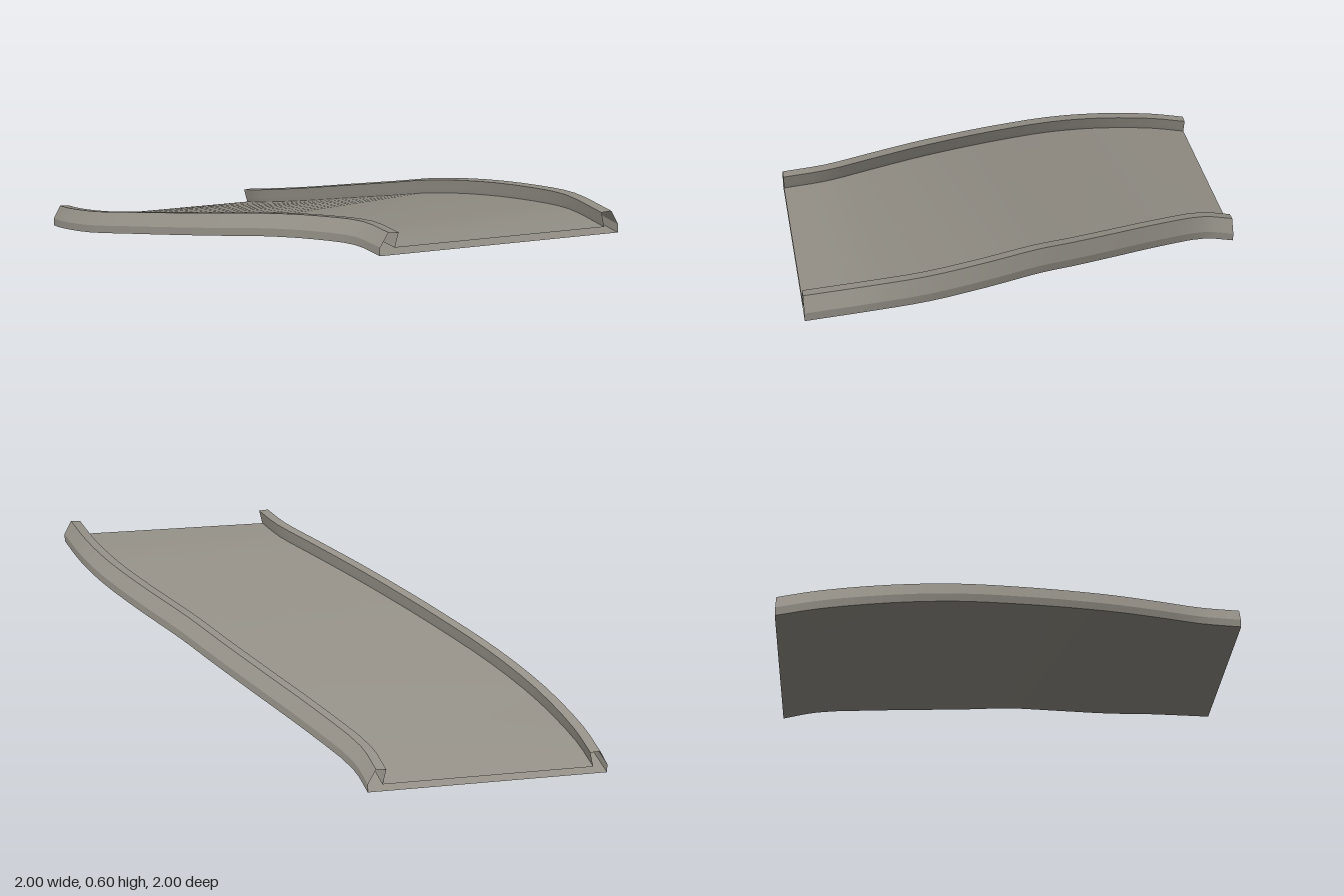
import * as THREE from 'three';

// Matching stations along the two outer lower edges: [height, x, z of one edge, x, z of the other]
const STATIONS = [
  [0, -1, -1, 0, -1],
  [0.045, -0.98, -0.83, 0.03, -0.86],
  [0.12, -0.9, -0.55, 0.165, -0.63],
  [0.2, -0.77, -0.28, 0.325, -0.4],
  [0.28, -0.6, 0, 0.485, -0.17],
  [0.34, -0.46, 0.21, 0.6, 0],
  [0.4, -0.31, 0.42, 0.75, 0.24],
  [0.45, -0.165, 0.63, 0.88, 0.5],
  [0.485, -0.05, 0.82, 0.955, 0.72],
  [0.5, 0, 1, 1, 1],
];
const STEPS = 27;

// Rim profile: distance inward from the edge, height above it
const RIM = [[0, 0], [0, 0.035], [0.033, 0.096], [0.075, 0.093], [0.064, 0.045], [0.06, 0.03]];

export function createModel() {
  const group = new THREE.Group();
  const stone = new THREE.MeshStandardMaterial({ color: 0x959188, side: THREE.DoubleSide });
  stone.name = 'warm grey';

  const edgeA = new THREE.CatmullRomCurve3(STATIONS.map(([y, x, z]) => new THREE.Vector3(x, y, z)));
  const edgeB = new THREE.CatmullRomCurve3(STATIONS.map(([y, , , x, z]) => new THREE.Vector3(x, y, z)));

  // Point on a section, measured inward from either edge
  function pointAt(t, fromB, [inward, up]) {
    const a = edgeA.getPoint(t), b = edgeB.getPoint(t);
    const across = b.clone().sub(a).normalize();
    const p = fromB ? b.addScaledVector(across, -inward) : a.addScaledVector(across, inward);
    p.y += up;
    return p;
  }

  // Sweep one profile line along the slide; smooth lengthwise, sharp at its borders
  function strip(parent, name, [fromB0, p0], [fromB1, p1]) {
    const positions = [], index = [];
    for (let i = 0; i <= STEPS; i++) {
      const t = i / STEPS;
      positions.push(...pointAt(t, fromB0, p0).toArray(), ...pointAt(t, fromB1, p1).toArray());
      if (i < STEPS) {
        const k = i * 2;
        index.push(k, k + 2, k + 3, k, k + 3, k + 1);
      }
    }
    const geometry = new THREE.BufferGeometry();
    geometry.setAttribute('position', new THREE.Float32BufferAttribute(positions, 3));
    geometry.setIndex(index);
    geometry.computeVertexNormals();
    const mesh = new THREE.Mesh(geometry, stone);
    mesh.name = name;
    parent.add(mesh);
  }

  // Raised rims with inward lips
  for (const fromB of [false, true]) {
    const rim = new THREE.Group();
    rim.name = fromB ? 'leftRim' : 'rightRim';
    const faces = ['lowerSide', 'outerSlope', 'lipTop', 'innerSide', 'foot'];
    faces.forEach((name, i) => {
      const ends = [[fromB, RIM[i]], [fromB, RIM[i + 1]]];
      if (fromB) ends.reverse();
      strip(rim, name, ...ends);
    });
    group.add(rim);
  }

  // Sliding surface and underside; both ends stay open
  strip(group, 'floor', [false, RIM[5]], [true, RIM[5]]);
  strip(group, 'underside', [true, RIM[0]], [false, RIM[0]]);
  return group;
}
